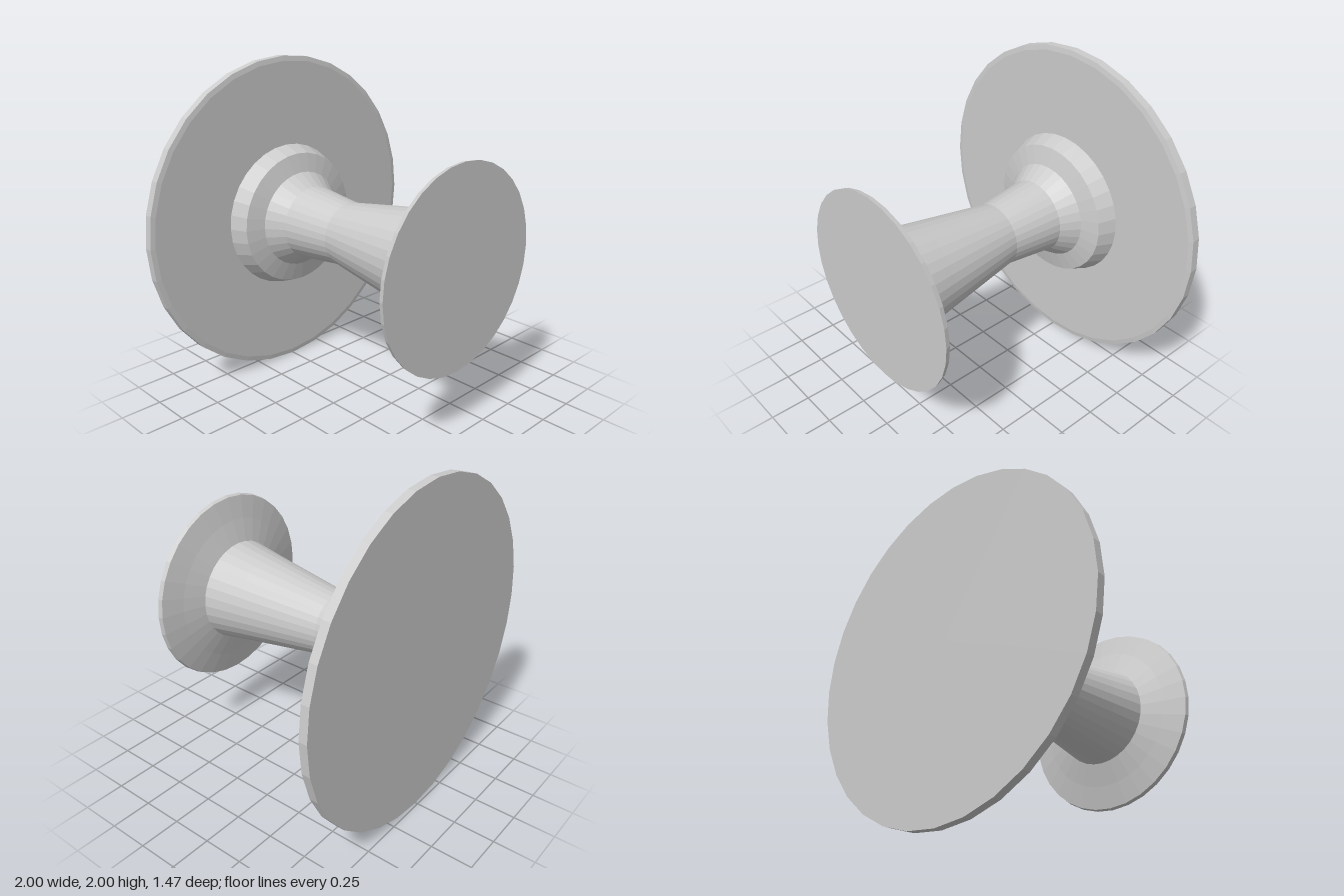
import * as THREE from 'three';

const SIDES = 32;

export function createModel() {
  const group = new THREE.Group();
  const material = new THREE.MeshStandardMaterial({ color: 0xcccccc, flatShading: true });

  // Turns a profile of [radius, z] points, listed back to front, around the z axis.
  function turned(name, profile) {
    const points = profile.map(([r, z]) => new THREE.Vector2(r, z));
    const geometry = new THREE.LatheGeometry(points, SIDES);
    geometry.rotateX(Math.PI / 2);
    geometry.translate(0, 1, 0);
    const mesh = new THREE.Mesh(geometry, material);
    mesh.name = name;
    group.add(mesh);
  }

  // Wide backplate with a slightly softened front rim
  turned('backplate', [[0, -0.735], [1, -0.735], [1, -0.685], [0.97, -0.68], [0.455, -0.68]]);

  // Stepped collar where the stem meets the plate
  turned('collar', [[0.455, -0.68], [0.415, -0.575], [0.3, -0.545], [0.228, -0.44]]);

  // Waisted stem
  turned('stem', [[0.228, -0.44], [0.192, -0.12], [0.274, 0.41], [0.312, 0.635]]);

  // Flared front knob with a flat face
  turned('knob', [[0.312, 0.635], [0.45, 0.675], [0.587, 0.708], [0.593, 0.735], [0, 0.735]]);

  return group;
}
